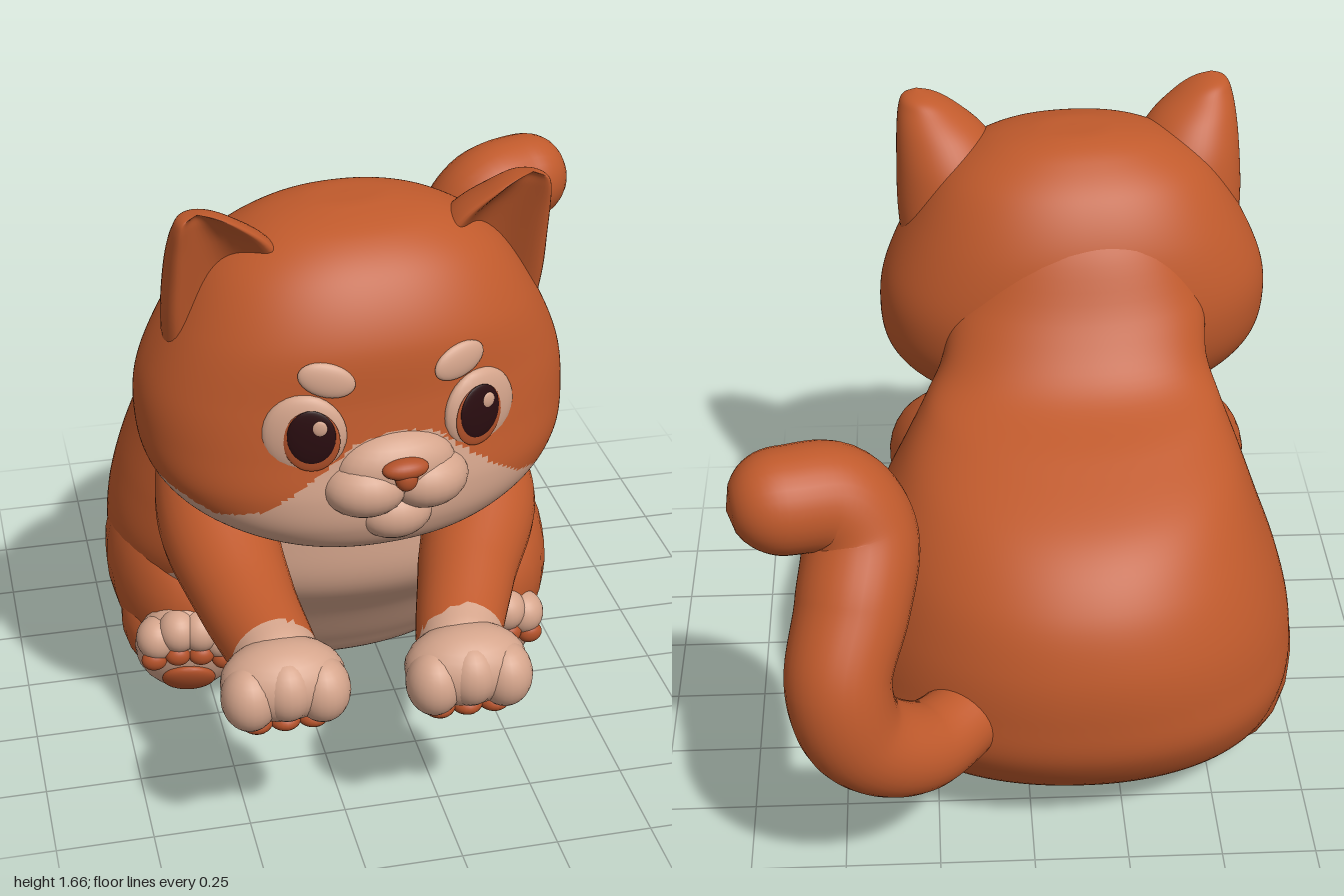
import * as THREE from 'three';
import { mergeVertices } from 'three/addons/utils/BufferGeometryUtils.js';

const mat = (name, color) => {
  const m = new THREE.MeshStandardMaterial({ color });
  m.name = name;
  return m;
};

// Smooth body lofted through rows of [y, centreX, halfWidth, zBack, zFront]
function loft(rows, { power = 2, dent = 0, rings = 64, sides = 80 } = {}) {
  const a = new THREE.CatmullRomCurve3(rows.map(r => new THREE.Vector3(r[0], r[1], r[2])), false, 'catmullrom');
  const b = new THREE.CatmullRomCurve3(rows.map(r => new THREE.Vector3(r[3], r[4], 0)), false, 'catmullrom');
  const pos = [], index = [];
  const bend = v => Math.sign(v) * Math.abs(v) ** (2 / power);
  for (let i = 0; i <= rings; i++) {
    const p = a.getPoint(i / rings), q = b.getPoint(i / rings);
    const mid = (q.x + q.y) / 2, depth = (q.y - q.x) / 2;
    for (let j = 0; j < sides; j++) {
      const t = j / sides * Math.PI * 2, s = Math.sin(t);
      const hollow = s > 0 ? dent * s ** 3 : 0;
      pos.push(p.y + Math.max(p.z, 0) * bend(Math.cos(t)), p.x, mid + depth * (bend(s) - hollow));
      if (i < rings) {
        const k = (j + 1) % sides, r = i * sides, u = r + sides;
        index.push(r + j, u + j, r + k, u + j, u + k, r + k);
      }
    }
  }
  const g = new THREE.BufferGeometry();
  g.setAttribute('position', new THREE.Float32BufferAttribute(pos, 3));
  g.setIndex(index);
  g.computeVertexNormals();
  return g;
}

// Tube with changing radius and rounded ends; points are [x, y, z, radius]
function limb(points, n = 64) {
  const curve = new THREE.CatmullRomCurve3(points.map(p => new THREE.Vector3(p[0], p[1], p[2])));
  const radii = new THREE.CatmullRomCurve3(points.map((p, i) => new THREE.Vector3(p[3], i, 0)), false, 'catmullrom');
  let g = new THREE.TubeGeometry(curve, n, 1, 32);
  const pos = g.attributes.position, length = curve.getLength(), v = new THREE.Vector3();
  for (let i = 0; i < pos.count; i++) {
    const u = Math.floor(i / 33) / n, centre = curve.getPointAt(u);
    let r = radii.getPoint(u).x;
    const end = Math.min(u, 1 - u) * length;
    if (end < r) r *= Math.sqrt(Math.max(0, 1 - (1 - end / r) ** 2)) + 0.001;
    v.fromBufferAttribute(pos, i).sub(centre).multiplyScalar(r).add(centre);
    pos.setXYZ(i, v.x, v.y, v.z);
  }
  g.deleteAttribute('uv');
  g.deleteAttribute('normal');
  g = mergeVertices(g, 1e-6);
  g.computeVertexNormals();
  return g;
}

// Splits the faces into two material groups by a rule on their centres
function paint(g, rule) {
  const idx = g.index.array, p = g.attributes.position, sets = [[], []];
  for (let i = 0; i < idx.length; i += 3) {
    const f = [idx[i], idx[i + 1], idx[i + 2]];
    const mean = axis => f.reduce((s, k) => s + p[axis](k), 0) / 3;
    sets[rule(mean('getX'), mean('getY'), mean('getZ')) ? 1 : 0].push(...f);
  }
  g.setIndex([...sets[0], ...sets[1]]);
  g.addGroup(0, sets[0].length, 0);
  g.addGroup(sets[0].length, sets[1].length, 1);
  return g;
}

// Straight-line interpolation through [input, output] pairs
function ramp(pairs, t) {
  for (let i = 1; i < pairs.length; i++) {
    const [a, b] = [pairs[i - 1], pairs[i]];
    if (t <= b[0]) return THREE.MathUtils.mapLinear(Math.max(t, a[0]), a[0], b[0], a[1], b[1]);
  }
  return pairs[pairs.length - 1][1];
}

export function createModel() {
  const fur = mat('orange fur', 0xc05a2c), cream = mat('cream fur', 0xd5a58c);
  const pad = mat('paw pad', 0xb4522a), dark = mat('dark pupil', 0x2a0d10);
  const ball = new THREE.SphereGeometry(1, 24, 16);

  const model = new THREE.Group();
  model.name = 'sittingCat';
  const add = (parent, name, geo, material) => {
    const m = new THREE.Mesh(geo, material);
    m.name = name;
    parent.add(m);
    return m;
  };
  const blob = (parent, name, material, pos, size, rot = [0, 0, 0]) => {
    const m = add(parent, name, ball, material);
    m.position.set(...pos);
    m.scale.set(...size);
    m.rotation.set(...rot);
  };
  const group = (parent, name, ...pos) => {
    const g = new THREE.Group();
    g.name = name;
    g.position.set(...pos);
    parent.add(g);
    return g;
  };

  // Torso with cream belly
  const torso = loft([
    [0.025, -0.13, 0, -0.15, -0.15], [0.04, -0.13, 0.36, -0.43, 0.06], [0.14, -0.13, 0.53, -0.61, 0.16],
    [0.3, -0.12, 0.6, -0.735, 0.27], [0.45, -0.12, 0.605, -0.76, 0.39], [0.6, -0.12, 0.57, -0.75, 0.41],
    [0.75, -0.12, 0.515, -0.69, 0.39], [0.88, -0.13, 0.455, -0.56, 0.36], [0.98, -0.14, 0.4, -0.34, 0.34],
    [1.06, -0.15, 0.36, -0.13, 0.34], [1.2, -0.16, 0.34, 0, 0.4], [1.4, -0.16, 0.24, 0.12, 0.4], [1.5, -0.16, 0, 0.3, 0.3]
  ], { power: 2.1, rings: 90, sides: 120 });
  const bellyWidth = [[0.03, 0.24], [0.15, 0.32], [0.4, 0.46], [0.55, 0.36], [0.75, 0.27], [0.95, 0.24]];
  add(model, 'torso', paint(torso, (x, y, z) =>
    y < 0.95 && z > 0 && Math.abs(x + 0.16) < ramp(bellyWidth, y)), [fur, cream]);

  // Curled tail
  add(model, 'tail', limb([
    [0.12, 0.42, -0.58, 0.1], [0.3, 0.42, -0.77, 0.11], [0.45, 0.54, -0.86, 0.125], [0.49, 0.7, -0.86, 0.13],
    [0.45, 0.86, -0.76, 0.135], [0.43, 1.0, -0.66, 0.145], [0.49, 1.1, -0.65, 0.145], [0.61, 1.125, -0.69, 0.135],
    [0.745, 1.115, -0.71, 0.13]
  ], 96), fur);

  for (const s of [-1, 1]) {
    const side = s < 0 ? 'right' : 'left';

    // Hind leg and foot with pads
    const hz = s < 0 ? -0.05 : 0.045;
    blob(model, side + 'Thigh', fur, [-0.125 + s * 0.42, 0.3, -0.1 + hz], [0.2, 0.28, 0.36]);
    blob(model, side + 'Shin', fur, [-0.14 + s * 0.43, 0.17, 0.03 + hz], [0.155, 0.16, 0.2]);
    const foot = group(model, side + 'Foot', -0.145 + s * 0.415, 0.17, 0.18 + hz);
    foot.rotation.set(0.35, s * 0.12, 0);
    blob(foot, 'sole', cream, [0, 0, 0], [0.147, 0.17, 0.09]);
    for (const t of [-1.5, -0.5, 0.5, 1.5]) {
      const lift = 0.016 * (2.25 - t * t);
      blob(foot, 'toe', cream, [t * 0.058, 0.075 + lift, 0.035], [0.058, 0.062, 0.062]);
      blob(foot, 'toePad', pad, [t * 0.064, 0.035 + lift * 0.6, 0.082], [0.035, 0.031, 0.027]);
    }
    blob(foot, 'mainPad', pad, [0, -0.055, 0.078], [0.074, 0.07, 0.025], [0.28, 0, 0]);

    // Front leg reaching forward
    const px = s < 0 ? -0.43 : 0.03, py = s < 0 ? 0.53 : 0.505;
    const sx = s < 0 ? -0.49 : 0.205, mx = s < 0 ? -0.465 : 0.11;
    add(model, side + 'Arm', paint(limb([
      [sx - s * 0.14, 0.73, -0.12, 0.15], [sx - s * 0.05, 0.715, 0.08, 0.17], [sx, 0.65, 0.32, 0.16],
      [mx, 0.575, 0.58, 0.135], [px, py + 0.01, 0.82, 0.115], [px, py, 0.92, 0.1]
    ]), (x, y, z) => z > 0.8), [fur, cream]);
    const paw = group(model, side + 'Paw', px, py, 0.87);
    blob(paw, 'palm', cream, [0, 0.005, 0.01], [0.155, 0.103, 0.108]);
    for (const t of [-1, 0, 1]) {
      blob(paw, 'toe', cream, [t * 0.09, 0.005 - 0.018 * t * t, 0.052 - 0.005 * t * t], [0.07, 0.085, 0.077]);
      blob(paw, 'toePad', pad, [t * 0.07, -0.1, 0.01], [0.045, 0.03, 0.06]);
    }
  }

  // Head, turned slightly to its left
  const head = group(model, 'head', -0.165, 0, 0.42);
  head.rotation.y = 0.1;
  const skull = loft([
    [0.75, 0, 0, 0.08, 0.08], [0.765, 0, 0.17, -0.06, 0.22], [0.81, 0, 0.32, -0.17, 0.34], [0.88, 0, 0.45, -0.27, 0.39],
    [0.97, 0, 0.525, -0.33, 0.4], [1.08, 0, 0.545, -0.36, 0.385], [1.2, 0, 0.53, -0.36, 0.37], [1.35, 0, 0.46, -0.33, 0.355],
    [1.48, 0, 0.37, -0.26, 0.29], [1.56, 0, 0.25, -0.17, 0.2], [1.595, 0, 0.12, -0.09, 0.09], [1.6, 0, 0, 0, 0]
  ], { power: 2.2, rings: 130, sides: 180 });
  const maskTop = [[0, 1.14], [0.1, 1.12], [0.2, 1.04], [0.32, 0.95], [0.42, 0.92], [0.52, 0.97]];
  add(head, 'skull', paint(skull, (x, y, z) =>
    y < ramp(maskTop, Math.abs(x)) && z > Math.min(0.08, -0.13 + 1.5 * (0.99 - y))), [fur, cream]);

  // Muzzle and nose
  blob(head, 'muzzleBridge', cream, [0, 1.045, 0.365], [0.15, 0.09, 0.08]);
  blob(head, 'chin', cream, [0, 0.915, 0.36], [0.095, 0.07, 0.075]);
  for (const s of [-1, 1])
    blob(head, 'muzzlePuff', cream, [s * 0.08, 1.0, 0.37], [0.105, 0.075, 0.088], [0, s * 0.25, 0]);
  blob(head, 'noseTop', pad, [0, 1.068, 0.44], [0.058, 0.026, 0.032]);
  blob(head, 'noseTip', pad, [0, 1.045, 0.448], [0.028, 0.032, 0.024]);

  // Ears, eyes and brows
  const earShape = s => loft([
    [1.28, s * 0.31, 0.17, -0.1, 0.18], [1.38, s * 0.32, 0.165, -0.08, 0.21], [1.48, s * 0.332, 0.15, -0.05, 0.23],
    [1.56, s * 0.355, 0.122, 0.0, 0.235], [1.62, s * 0.388, 0.08, 0.06, 0.23], [1.65, s * 0.408, 0.045, 0.1, 0.215],
    [1.664, s * 0.415, 0, 0.17, 0.17]
  ], { dent: 1.15, rings: 40, sides: 48 });
  for (const s of [-1, 1]) {
    const side = s < 0 ? 'right' : 'left';
    add(head, side + 'Ear', earShape(s), fur);
    blob(head, side + 'Brow', cream, [s * 0.165, 1.285, 0.35], [0.07, 0.042, 0.016], [-0.1, s * 0.2, s * 0.32]);
    const eye = group(head, side + 'Eye', s * 0.22, 1.145, 0.342);
    eye.rotation.y = s * 0.3;
    blob(eye, 'eyeWhite', cream, [0, 0, 0], [0.102, 0.106, 0.03]);
    blob(eye, 'iris', pad, [-s * 0.018, -0.004, 0.024], [0.068, 0.08, 0.009]);
    blob(eye, 'pupil', dark, [-s * 0.018, 0.008, 0.028], [0.058, 0.071, 0.009]);
    blob(eye, 'glint', cream, [0.02 - s * 0.018, 0.035, 0.034], [0.018, 0.02, 0.006]);
  }
  return model;
}
